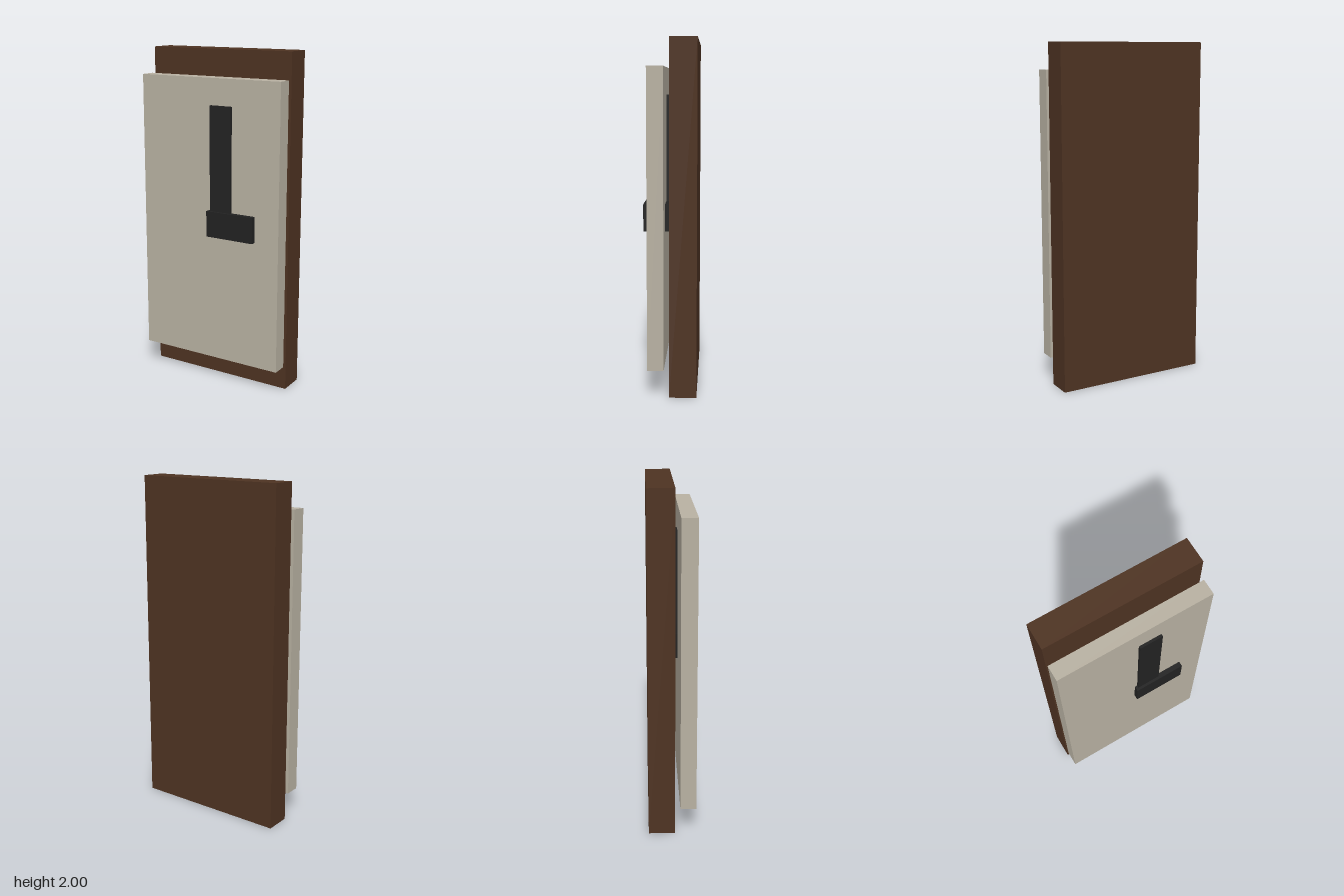
import * as THREE from 'three';

const material = (name, color) => {
  const m = new THREE.MeshStandardMaterial({ color });
  m.name = name;
  return m;
};

// Box given by its [min, max] extents on each axis
function block(name, mat, [x0, x1], [y0, y1], [z0, z1]) {
  const mesh = new THREE.Mesh(new THREE.BoxGeometry(x1 - x0, y1 - y0, z1 - z0), mat);
  mesh.position.set((x0 + x1) / 2, (y0 + y1) / 2, (z0 + z1) / 2);
  mesh.name = name;
  return mesh;
}

export function createModel() {
  const wood = material('dark brown', 0x4e3322);
  const stone = material('warm grey', 0xb8b1a2);
  const black = material('black', 0x222222);

  const group = new THREE.Group();
  group.name = 'wallPanel';
  group.add(
    // backing board, with the face panel floating in front of it
    block('backBoard', wood, [-0.4615, 0.4615], [0, 2], [-0.1538, 0]),
    block('facePanel', stone, [-0.4615, 0.4615], [0.154, 1.846], [0.0308, 0.1231]),
    // the two hands pass through the panel
    block('longHand', black, [0.0154, 0.1538], [1.077, 1.692], [0.0154, 0.1385]),
    block('shortHand', black, [0, 0.3077], [0.923, 1.077], [0, 0.1538]),
  );
  return group;
}
